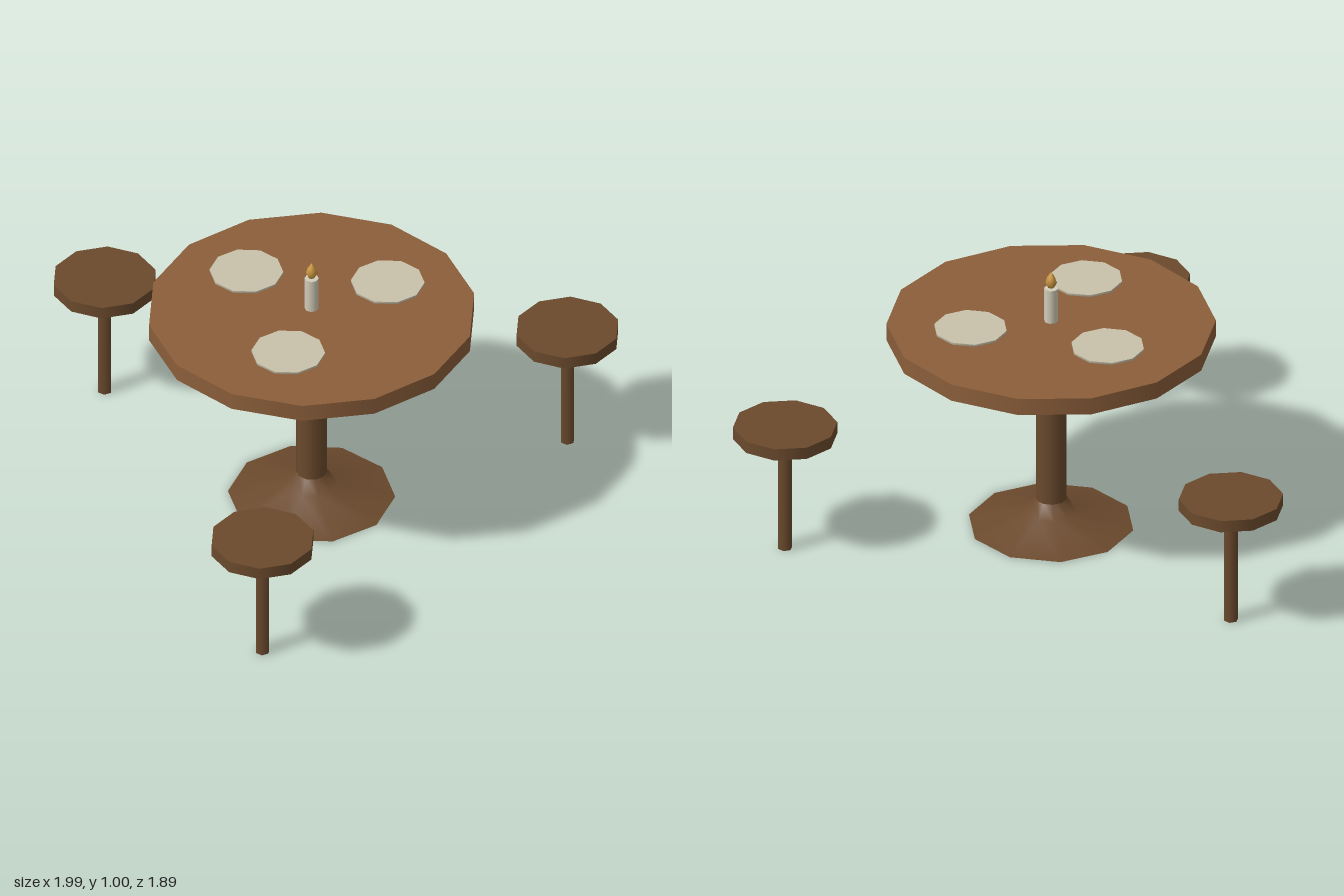
import * as THREE from 'three';

const material = (name, color) => {
  const m = new THREE.MeshStandardMaterial({ color });
  m.name = name;
  return m;
};

export function createModel() {
  const model = new THREE.Group();
  const lightWood = material('light wood', 0x8b5e3a);
  const darkWood = material('dark wood', 0x6b4a2d);
  const china = material('cream china', 0xc9c1aa);
  const wax = material('candle wax', 0xd2ccb8);
  const fire = material('flame', 0xc8943c);

  const add = (parent, name, geometry, mat, x = 0, y = 0, z = 0) => {
    const mesh = new THREE.Mesh(geometry, mat);
    mesh.name = name;
    mesh.position.set(x, y, z);
    parent.add(mesh);
    return mesh;
  };
  // Upright prism standing between two heights
  const post = (r, y0, y1, sides) =>
    new THREE.CylinderGeometry(r, r, y1 - y0, sides).translate(0, (y0 + y1) / 2, 0);
  // Turned shape with a corner on the x axis; profile runs bottom to top
  const turned = (points, sides) =>
    new THREE.LatheGeometry(points.map(([r, y]) => new THREE.Vector2(r, y)), sides).rotateY(Math.PI / 2);

  // Table with pedestal
  const table = new THREE.Group();
  table.name = 'table';
  table.position.set(-0.06, 0, -0.19);
  model.add(table);
  add(table, 'tableTop', post(0.58, 0.738, 0.802, 14), lightWood);
  add(table, 'pedestal', turned([
    [0, 0], [0.295, 0], [0.295, 0], [0.09, 0.05], [0.055, 0.1], [0.055, 0.1],
    [0.055, 0.732], [0.055, 0.732], [0, 0.732],
  ], 10), darkWood);

  // Candle and flame
  add(table, 'candle', post(0.025, 0.808, 0.938, 8), wax);
  add(table, 'flame', turned([
    [0, 0.936], [0.012, 0.943], [0.021, 0.962], [0.014, 0.982], [0, 1.003],
  ], 8), fire);

  // Plates
  const plate = turned([
    [0, 0.804], [0.05, 0.804], [0.05, 0.804], [0.127, 0.822], [0.13, 0.822],
    [0.13, 0.83], [0.13, 0.83], [0, 0.83],
  ], 10);
  for (const [x, z] of [[-0.3, -0.37], [0.2, -0.335], [-0.125, 0.105]]) {
    add(model, 'plate', plate, china, x, 0, z);
  }

  // Stools
  const seat = post(0.185, 0.447, 0.492, 10);
  const leg = post(0.026, 0, 0.447, 6);
  for (const [x, z] of [[-0.823, -0.765], [0.82, -0.56], [-0.178, 0.76]]) {
    const stool = new THREE.Group();
    stool.name = 'stool';
    stool.position.set(x, 0, z);
    add(stool, 'seat', seat, darkWood);
    add(stool, 'leg', leg, darkWood);
    model.add(stool);
  }
  return model;
}
